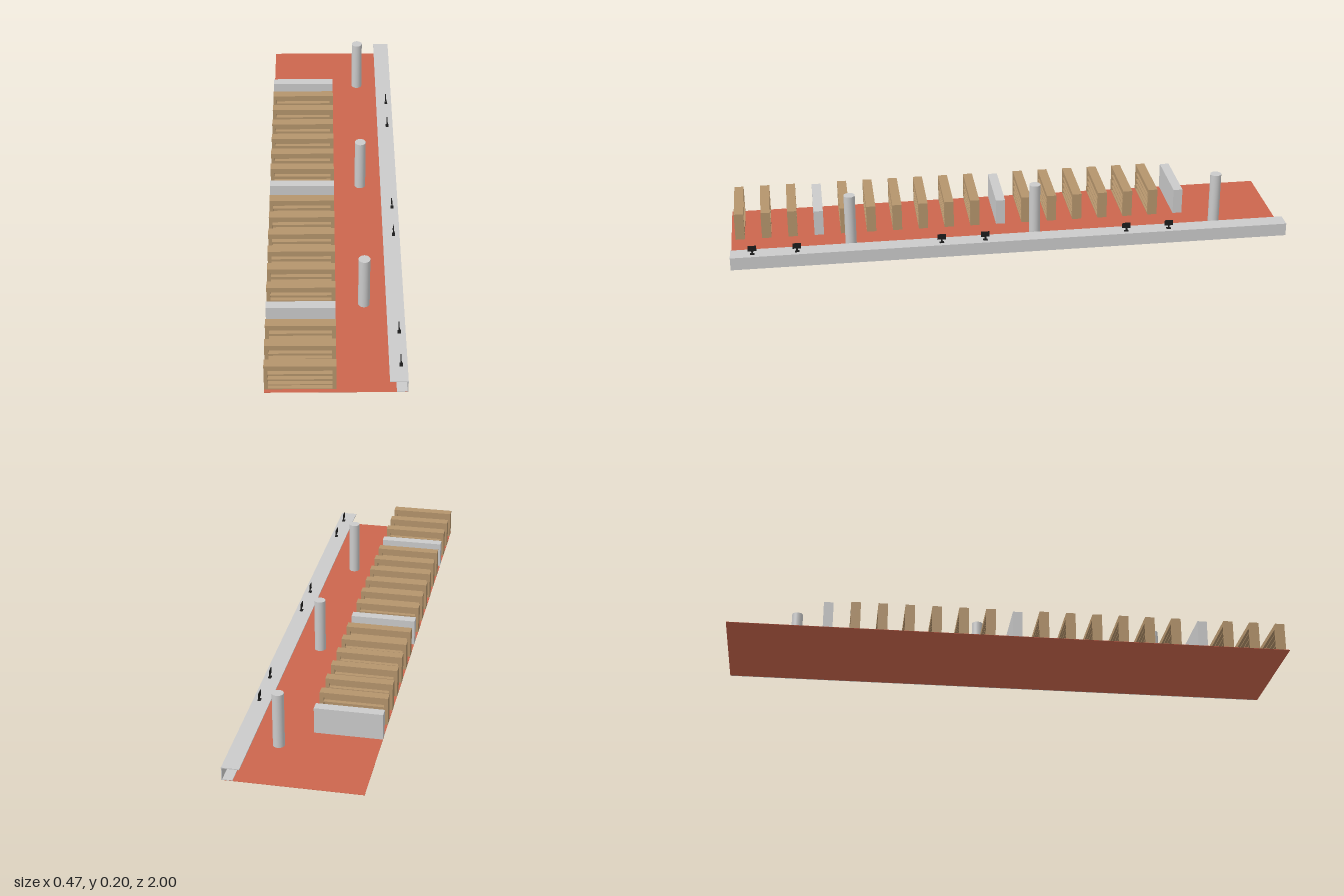
import * as THREE from 'three';

const mat = (name, color) => {
  const m = new THREE.MeshStandardMaterial({ color });
  m.name = name;
  return m;
};

export function createModel() {
  const terracotta = mat('terracotta floor', 0xcc664d);
  const wood = mat('shelf wood', 0xb4946c);
  const grey = mat('pale grey', 0xcacaca);
  const black = mat('monitor black', 0x1c1c1c);

  const model = new THREE.Group();
  model.name = 'libraryHall';

  // Box given by its min and max corners
  const box = (parent, name, material, [x0, y0, z0], [x1, y1, z1]) => {
    const g = new THREE.BoxGeometry(x1 - x0, y1 - y0, z1 - z0);
    const mesh = new THREE.Mesh(g, material);
    mesh.position.set((x0 + x1) / 2, (y0 + y1) / 2, (z0 + z1) / 2);
    mesh.name = name;
    parent.add(mesh);
  };

  box(model, 'floor', terracotta, [-0.234, 0, -1], [0.229, 0.001, 1]);

  // Double-sided bookcase: end posts, lintel, central back panel, thin shelves
  const bookcase = (z) => {
    const g = new THREE.Group();
    g.name = 'bookcase';
    const d = 0.017;
    box(g, 'endPost', wood, [-0.234, 0.001, -d], [-0.221, 0.102, d]);
    box(g, 'endPost', wood, [-0.013, 0.001, -d], [0, 0.102, d]);
    box(g, 'lintel', wood, [-0.221, 0.084, -d], [-0.013, 0.102, d]);
    box(g, 'backPanel', wood, [-0.221, 0.001, -0.002], [-0.013, 0.084, 0.002]);
    for (const y of [0.001, 0.02, 0.042, 0.065]) {
      box(g, 'shelf', wood, [-0.221, y, -d], [-0.013, y + 0.003, d]);
    }
    g.position.z = z;
    model.add(g);
  };

  // Row of bookcases, every seventh place taken by a partition wall
  for (let i = 0; i < 18; i++) {
    const z = -0.65 + i * 0.0952;
    if (i % 7 === 0) {
      box(model, 'partitionWall', grey, [-0.234, 0.001, z - 0.017], [0, 0.096, z + 0.017]);
    } else bookcase(z);
  }

  // Round columns
  for (const z of [-0.763, -0.095, 0.572]) {
    const column = new THREE.Mesh(new THREE.CylinderGeometry(0.02, 0.02, 0.199, 24), grey);
    column.position.set(0.098, 0.1005, z);
    column.name = 'column';
    model.add(column);
  }

  // Long C-shaped counter
  box(model, 'counterTop', grey, [0.172, 0.044, -1], [0.232, 0.047, 1]);
  box(model, 'counterFront', grey, [0.229, 0, -1], [0.232, 0.044, 1]);
  box(model, 'counterFoot', grey, [0.195, 0.001, -1], [0.229, 0.003, 1]);

  // Computer monitors on the counter, in pairs
  for (const centre of [-0.49, 0.177, 0.844]) {
    for (const side of [-1, 1]) {
      const g = new THREE.Group();
      g.name = 'monitor';
      box(g, 'base', black, [-0.005, 0, -0.008], [0.006, 0.002, 0.008]);
      box(g, 'neck', black, [0, 0.002, -0.003], [0.003, 0.014, 0.003]);
      box(g, 'screen', black, [-0.002, 0.012, -0.015], [0.001, 0.032, 0.015]);
      g.position.set(0.21, 0.047, centre + side * 0.078);
      model.add(g);
    }
  }

  return model;
}
